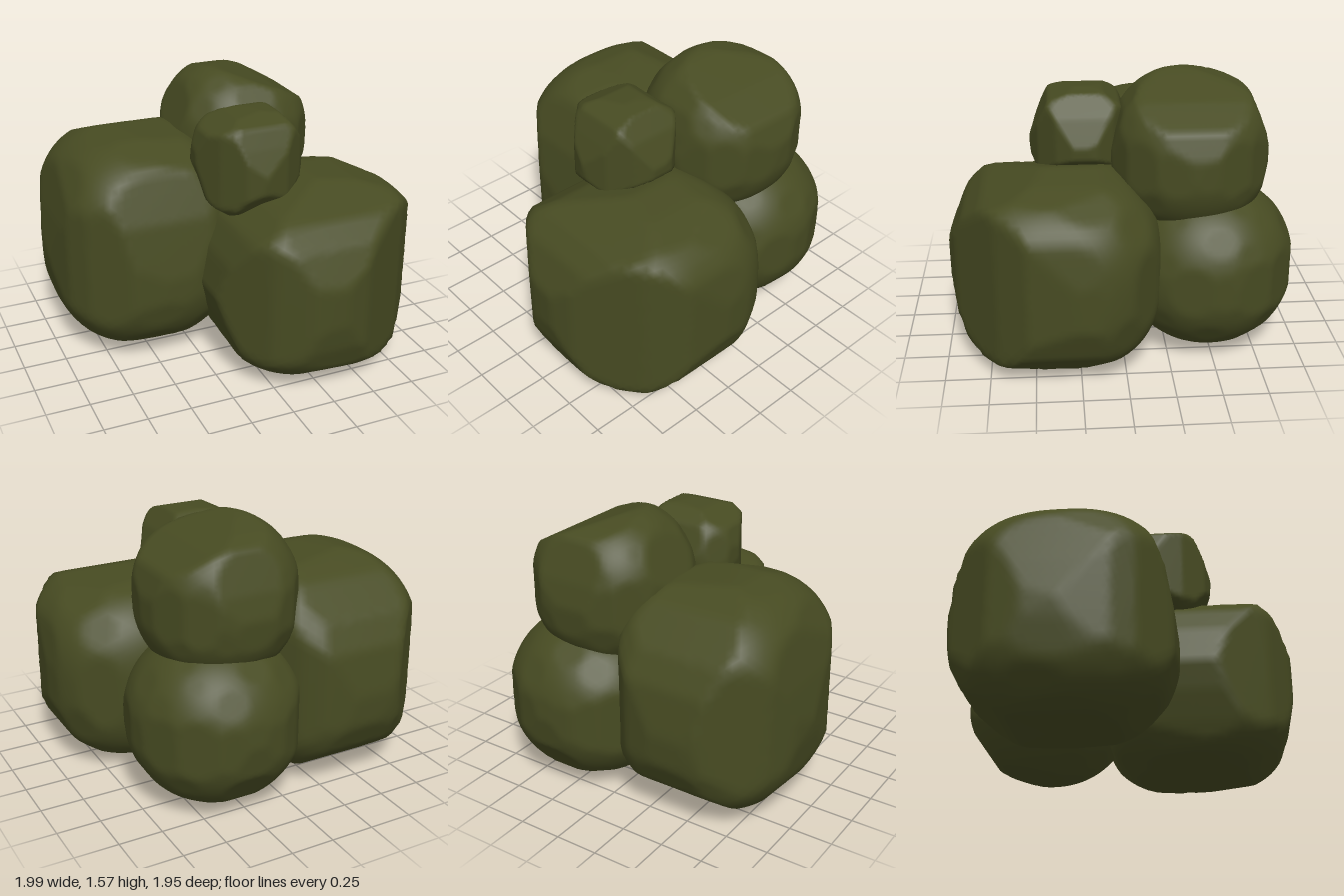
import * as THREE from 'three';
import { mergeVertices } from 'three/addons/utils/BufferGeometryUtils.js';

// Small seeded generator for the chipped facets
function seeded(seed) {
  return () => {
    seed = (seed * 16807) % 2147483647;
    return seed / 2147483647;
  };
}

// Axes used by each outline: front (x, y), side (z, y), plan (x, z)
const AXES = { front: ['x', 'y'], side: ['z', 'y'], plan: ['x', 'z'] };

// Rounded body of exponent p in a box of half-size r
const bodyReach = (u, p) =>
  Math.pow(Math.abs(u.x) ** p + Math.abs(u.y) ** p + Math.abs(u.z) ** p, -1 / p);

// Cutting planes, in body units, along the edges of an outline
function outlinePlanes(points, [a, b], centre, r) {
  const planes = [];
  for (let i = 1; i < points.length; i++) {
    const [a0, b0] = points[i - 1];
    const [a1, b1] = points[i];
    let na = b1 - b0, nb = a0 - a1;
    let d = na * (a0 - centre[a]) + nb * (b0 - centre[b]);
    if (d < 0) [na, nb, d] = [-na, -nb, -d];
    const n = new THREE.Vector3();
    n[a] = na * r[a];
    n[b] = nb * r[b];
    planes.push({ n, d });
  }
  return planes;
}

// Shallow chipped facets spread evenly over the body
function facetPlanes(count, depth, p, seed) {
  const random = seeded(seed);
  const planes = [];
  for (let i = 0; i < count; i++) {
    const y = 1 - (2 * (i + 0.5)) / count;
    const angle = i * 2.39996 + random() * 0.5;
    const h = Math.sqrt(1 - y * y);
    const pt = new THREE.Vector3(Math.cos(angle) * h, y, Math.sin(angle) * h);
    pt.multiplyScalar(bodyReach(pt, p));
    const [nx, ny, nz] = pt.toArray().map((v) => Math.sign(v) * Math.abs(v) ** (p - 1));
    const n = new THREE.Vector3(nx, ny, nz);
    planes.push({ n, d: n.dot(pt) * (1 - depth * random()) });
  }
  return planes;
}

// Rounded body trimmed by its outlines and facets
function boulderGeometry({ centre, radii, p, facets, depth, seed, outlines }) {
  const c = new THREE.Vector3(...centre);
  const r = new THREE.Vector3(...radii);
  const planes = facetPlanes(facets, depth, p, seed);
  for (const [view, points] of Object.entries(outlines)) {
    planes.push(...outlinePlanes(points, AXES[view], c, r));
  }

  let geo = new THREE.IcosahedronGeometry(1, 18);
  geo.deleteAttribute('uv');
  geo.deleteAttribute('normal');
  geo = mergeVertices(geo, 1e-4);
  const pos = geo.attributes.position;
  const u = new THREE.Vector3();
  for (let i = 0; i < pos.count; i++) {
    u.fromBufferAttribute(pos, i).normalize();
    let reach = bodyReach(u, p);
    for (const { n, d } of planes) {
      const along = n.dot(u);
      if (along > 1e-4) reach = Math.min(reach, d / along);
    }
    u.multiplyScalar(reach).multiply(r).add(c);
    pos.setXYZ(i, u.x, u.y, u.z);
  }
  geo.computeVertexNormals();
  return geo;
}

export function createModel() {
  const group = new THREE.Group();
  group.name = 'boulderPile';
  const stone = new THREE.MeshStandardMaterial({ color: 0x474b22 });
  stone.name = 'mossy stone';

  const boulders = {
    // Broad block with a nearly flat top and a sheared front corner
    frontBoulder: {
      centre: [0.37, 0.56, 0.385], radii: [0.64, 0.57, 0.605], p: 2.7, facets: 46, depth: 0.04, seed: 11,
      outlines: {
        front: [[-0.1, 0.08], [0.28, 0.01], [0.76, 0.06], [0.91, 0.21], [0.99, 0.41], [1, 0.58], [0.95, 0.89],
          [0.86, 1.03], [0.61, 1.09], [0.38, 1.11], [0.05, 1.02], [-0.12, 0.91], [-0.21, 0.74], [-0.26, 0.53],
          [-0.22, 0.37], [-0.16, 0.21], [-0.1, 0.08]],
        side: [[0.77, 1], [0.44, 1.11], [0.11, 1.11], [-0.14, 0.99], [-0.19, 0.87], [-0.21, 0.69], [-0.2, 0.45],
          [-0.17, 0.29], [-0.08, 0.12], [0.01, 0.05], [0.3, 0.01], [0.53, 0], [0.77, 0.04], [0.87, 0.12],
          [0.94, 0.3], [0.98, 0.5], [0.97, 0.69], [0.88, 0.89], [0.77, 1]],
        plan: [[-0.26, 0.3], [-0.26, 0.53], [-0.05, 0.83], [0.14, 0.96], [0.31, 0.98], [0.47, 0.93], [0.8, 0.7],
          [0.95, 0.53], [0.99, 0.27], [0.98, 0.08], [0.93, -0.04], [0.78, -0.17], [0.68, -0.21]],
      },
    },
    // Tall block with a steep front face and a rounded crown
    rightBoulder: {
      centre: [-0.45, 0.65, -0.29], radii: [0.56, 0.645, 0.635], p: 2.6, facets: 46, depth: 0.04, seed: 29,
      outlines: {
        front: [[-0.1, 0.08], [-0.5, 0.02], [-0.74, 0.07], [-0.88, 0.13], [-0.95, 0.26], [-0.99, 0.48], [-1, 0.58],
          [-0.965, 0.82], [-0.9, 1.12], [-0.85, 1.18], [-0.72, 1.28], [-0.4, 1.3], [-0.2, 1.28]],
        side: [[-0.92, 0.6], [-0.88, 0.86], [-0.8, 1.02], [-0.62, 1.2], [-0.4, 1.29], [-0.1, 1.28], [0.15, 1.2],
          [0.27, 0.9], [0.34, 0.5], [0.31, 0.25], [0.2, 0.1], [0, 0.04], [-0.33, 0.02], [-0.6, 0.08],
          [-0.82, 0.25], [-0.91, 0.42], [-0.92, 0.6]],
        plan: [[-0.2, 0.3], [-0.33, 0.34], [-0.65, 0.31], [-0.87, 0.14], [-0.95, 0], [-1, -0.27], [-0.99, -0.46],
          [-0.93, -0.64], [-0.64, -0.92], [-0.36, -0.93], [-0.18, -0.87], [-0.08, -0.78], [0.08, -0.5]],
      },
    },
    // Round stone low at the back
    backBoulder: {
      centre: [0.3, 0.5, -0.49], radii: [0.495, 0.49, 0.495], p: 2.1, facets: 60, depth: 0.02, seed: 47,
      outlines: {
        side: [[-0.84, 0.91], [-0.93, 0.79], [-0.97, 0.63], [-0.98, 0.5], [-0.95, 0.32], [-0.8, 0.11], [-0.51, 0.03]],
        plan: [[-0.08, -0.77], [0, -0.87], [0.12, -0.95], [0.3, -0.99], [0.5, -0.94], [0.68, -0.8], [0.78, -0.6],
          [0.79, -0.47], [0.76, -0.35]],
      },
    },
    // Round stone on top, its crown sloping down to the left
    topBoulder: {
      centre: [0.23, 1.15, -0.385], radii: [0.445, 0.46, 0.45], p: 2.2, facets: 60, depth: 0.02, seed: 71,
      outlines: {
        front: [[-0.21, 1.2], [-0.09, 1.48], [-0.03, 1.56], [0.03, 1.59], [0.13, 1.57], [0.41, 1.47], [0.61, 1.36],
          [0.665, 1.21], [0.67, 1.09]],
        side: [[0.015, 0.92], [0.05, 1.03], [0.06, 1.16], [0.03, 1.29], [-0.01, 1.41], [-0.1, 1.52], [-0.25, 1.59],
          [-0.43, 1.57], [-0.6, 1.53], [-0.71, 1.49], [-0.79, 1.27], [-0.82, 1.13], [-0.81, 1.01]],
        plan: [[-0.21, -0.45], [-0.16, -0.61], [-0.04, -0.75], [0.1, -0.82], [0.25, -0.83], [0.42, -0.8],
          [0.57, -0.68], [0.66, -0.5], [0.67, -0.37], [0.63, -0.17], [0.5, -0.02], [0.32, 0.06]],
      },
    },
    // Small blocky stone perched at the front
    smallBoulder: {
      centre: [0.07, 1.19, 0.215], radii: [0.315, 0.31, 0.3], p: 2.6, facets: 34, depth: 0.05, seed: 83,
      outlines: {
        front: [[0.16, 1.49], [0.22, 1.48], [0.31, 1.36], [0.38, 1.2], [0.375, 1.13], [0.2, 1.02], [-0.12, 0.89],
          [-0.2, 1], [-0.24, 1.2], [-0.24, 1.37], [-0.12, 1.43], [-0.04, 1.47], [0.16, 1.49]],
        side: [[-0.06, 1], [-0.08, 1.2], [0, 1.41], [0.1, 1.48], [0.24, 1.49], [0.4, 1.44], [0.45, 1.33],
          [0.51, 1.18], [0.5, 1.08], [0.4, 0.95], [0.25, 0.88]],
        plan: [[-0.24, 0.19], [-0.23, 0.08], [-0.16, -0.04], [-0.08, -0.08], [0.16, -0.05], [0.3, 0.04],
          [0.37, 0.13], [0.39, 0.25], [0.32, 0.36], [0.2, 0.46], [0.06, 0.51], [-0.05, 0.475], [-0.16, 0.35],
          [-0.24, 0.19]],
      },
    },
  };

  for (const [name, shape] of Object.entries(boulders)) {
    const mesh = new THREE.Mesh(boulderGeometry(shape), stone);
    mesh.name = name;
    group.add(mesh);
  }
  return group;
}
